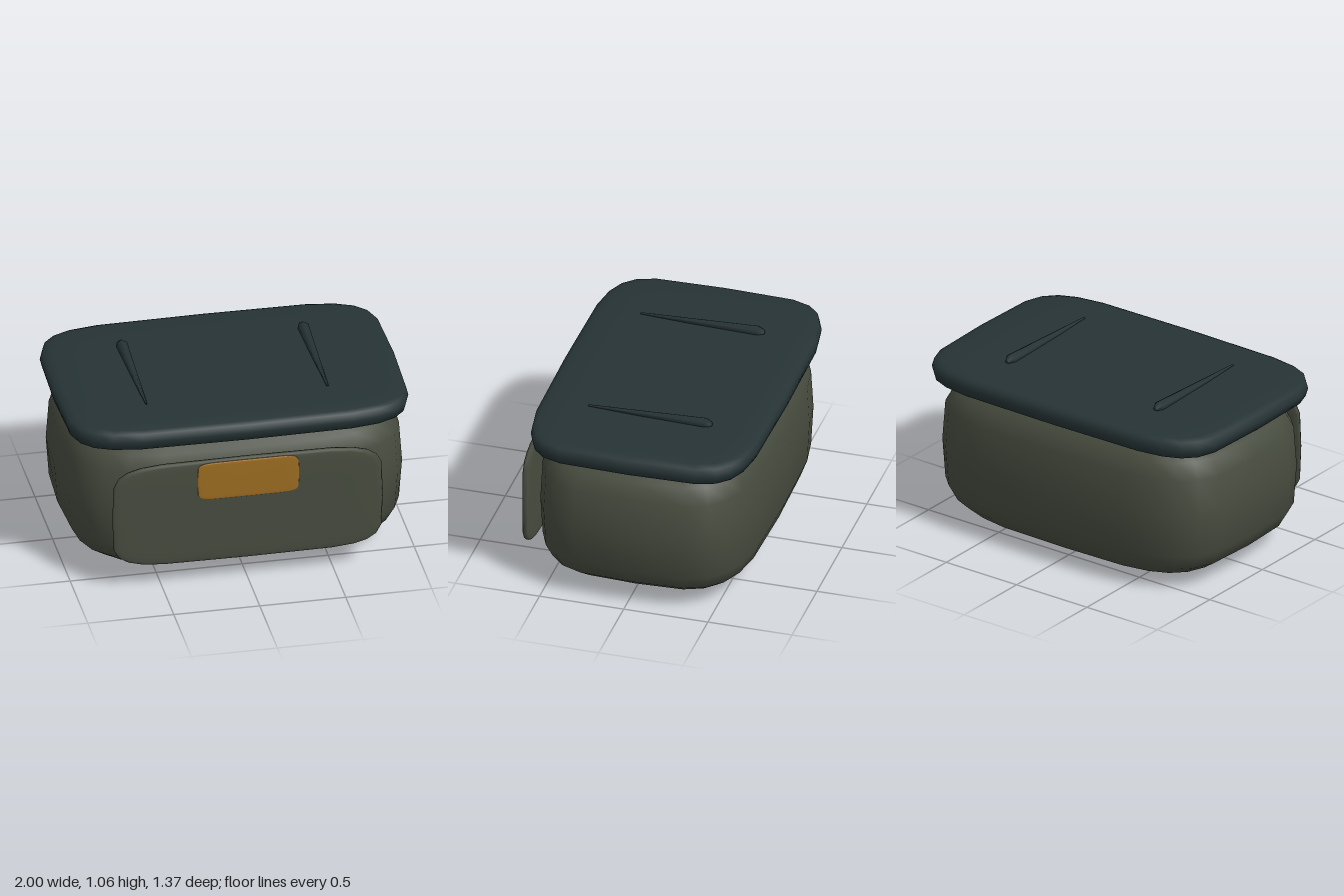
import * as THREE from 'three';

// Signed power, the core of a superellipsoid
const sp = (v, e) => (Math.abs(v) < 1e-6 ? 0 : Math.sign(v) * Math.pow(Math.abs(v), e));

// Puffy rounded box: half sizes a, b, c; e is the roundness (smaller = boxier); pole axis is y
function puffyBox(a, b, c, e) {
  const geo = new THREE.SphereGeometry(1, 24, 12);
  const p = geo.attributes.position;
  const n = geo.attributes.normal;
  for (let i = 0; i < p.count; i++) {
    const sinLat = p.getY(i);
    const cosLat = Math.hypot(p.getX(i), p.getZ(i));
    const cosLon = cosLat > 1e-6 ? p.getX(i) / cosLat : 0;
    const sinLon = cosLat > 1e-6 ? p.getZ(i) / cosLat : 0;
    const ring = sp(cosLat, e);
    p.setXYZ(i, a * ring * sp(cosLon, e), b * sp(sinLat, e), c * ring * sp(sinLon, e));
    const v = new THREE.Vector3(
      sp(cosLat, 2 - e) * sp(cosLon, 2 - e) / a,
      sp(sinLat, 2 - e) / b,
      sp(cosLat, 2 - e) * sp(sinLon, 2 - e) / c
    ).normalize();
    n.setXYZ(i, v.x, v.y, v.z);
  }
  return geo;
}

export function createModel() {
  const group = new THREE.Group();
  const material = (name, color) => {
    const m = new THREE.MeshStandardMaterial({ color });
    m.name = name;
    return m;
  };
  const olive = material('olive shell', 0x474c3f);
  const slate = material('dark slate', 0x263335);
  const amber = material('amber', 0x9c6c22);

  const add = (name, geo, mat, x, y, z) => {
    const mesh = new THREE.Mesh(geo, mat);
    mesh.name = name;
    mesh.position.set(x, y, z);
    group.add(mesh);
    return mesh;
  };

  // Main box and lid
  add('body', puffyBox(0.985, 0.47, 0.65, 0.5), olive, 0, 0.47, -0.02);
  add('lid', puffyBox(1, 0.077, 0.667, 0.36), slate, 0, 0.938, -0.016);

  // Front panel and its plate, lying with their poles toward the front
  add('frontPanel', puffyBox(0.787, 0.024, 0.326, 0.34), olive, 0, 0.464, 0.653).rotation.x = Math.PI / 2;
  add('frontPlate', puffyBox(0.295, 0.01, 0.117, 0.24), amber, 0, 0.662, 0.675).rotation.x = Math.PI / 2;

  // Tapered six-sided ridges on the lid
  const profile = [[0, -0.385], [0.013, -0.385], [0.035, -0.345], [0.006, 0.35], [0, 0.35]]
    .map(([r, z]) => new THREE.Vector2(r, z));
  const ridgeGeo = new THREE.LatheGeometry(profile, 6);
  for (const side of [-1, 1]) {
    add(side < 0 ? 'rightRidge' : 'leftRidge', ridgeGeo, slate, side * 0.527, 1.023, 0).rotation.x = Math.PI / 2;
  }
  return group;
}
